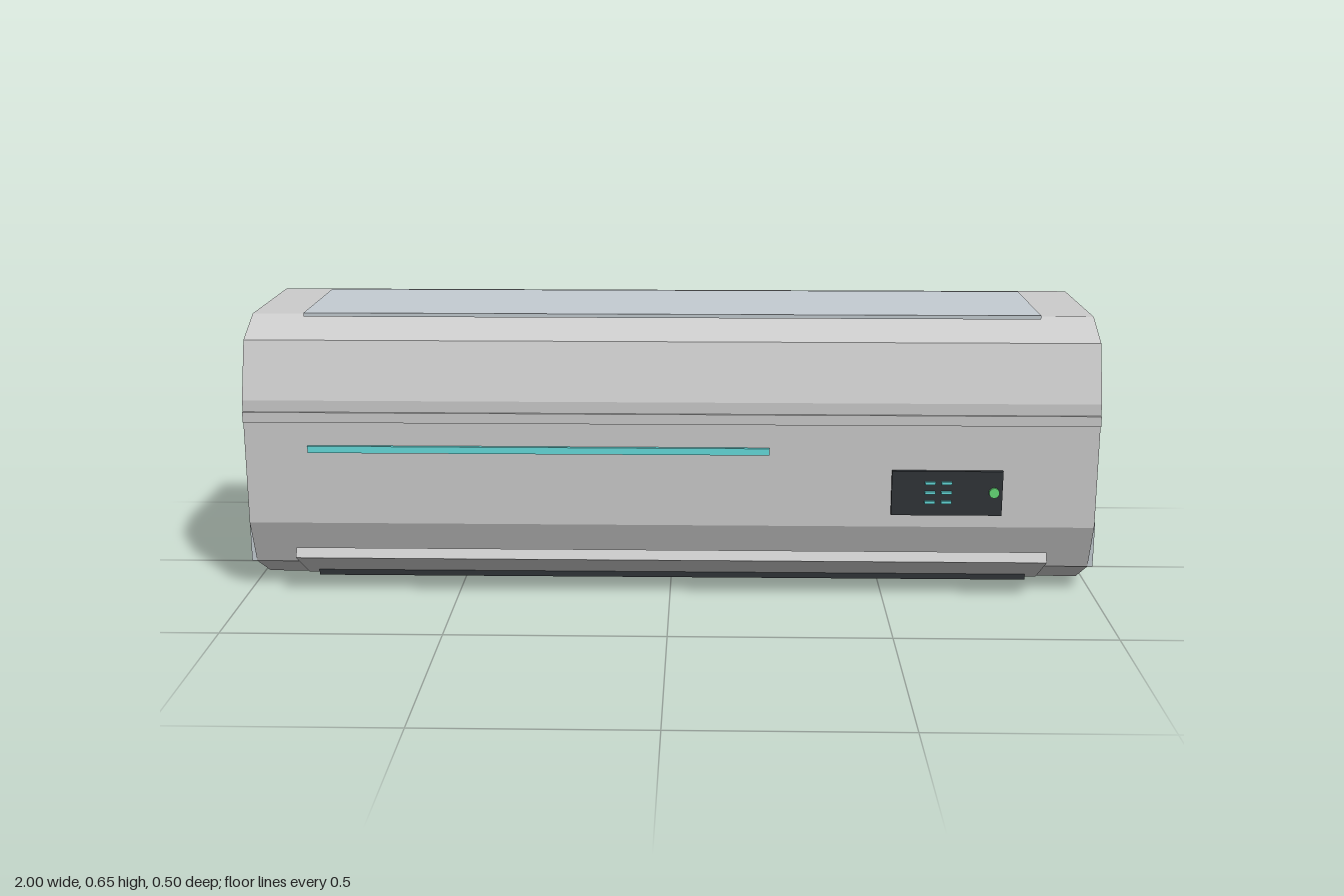
import * as THREE from 'three';

const material = (color = 0xcccccc) => new THREE.MeshStandardMaterial({ color });

export function createModel() {
  const model = new THREE.Group();
  const grey = material();
  const dark = material(0x303438);
  const cyan = material(0x66dddd);
  const green = material(0x66dd77);
  const panel = material(0xc4ccd2);

  const add = (name, geometry, mat, parent = model) => {
    const mesh = new THREE.Mesh(geometry, mat);
    mesh.name = name;
    parent.add(mesh);
    return mesh;
  };

  // Box given by its limits on each axis
  const box = (name, mat, [x0, x1], [y0, y1], [z0, z1], parent) => {
    const mesh = add(name, new THREE.BoxGeometry(x1 - x0, y1 - y0, z1 - z0), mat, parent);
    mesh.position.set((x0 + x1) / 2, (y0 + y1) / 2, (z0 + z1) / 2);
    return mesh;
  };

  // Casing: side profile (z, y) extruded along the width
  const profile = [
    [-0.25, 0], [0.072, 0], [0.19, 0.065], [0.235, 0.175],
    [0.235, 0.47], [0.19, 0.603], [0.093, 0.647], [-0.25, 0.647],
  ].map(([z, y]) => new THREE.Vector2(z, y));
  const casing = new THREE.ExtrudeGeometry(new THREE.Shape(profile), { depth: 1.976, bevelEnabled: false });
  casing.translate(0, 0, -0.988);
  casing.rotateY(-Math.PI / 2);
  add('casing', casing, grey);

  // Intake cover on top and the trim line across the front
  box('topIntakePanel', panel, [-0.86, 0.86], [0.646, 0.655], [-0.198, 0.125]);
  box('frontTrim', grey, [-0.988, 0.988], [0.419, 0.443], [0.23, 0.241]);

  // Side covers
  for (const side of [-1, 1]) {
    const cover = box('sidePanel', panel, [0.975, 1], [0.065, 0.172], [-0.133, 0.19]);
    cover.position.x *= side;
  }

  // Air outlet with its tilted flap
  box('airOutlet', dark, [-0.85, 0.85], [0.015, 0.045], [0, 0.145]);
  const flap = add('louverFlap', new THREE.BoxGeometry(1.76, 0.025, 0.149), grey);
  flap.position.set(0, 0.065, 0.18);
  flap.rotation.x = -0.55;

  // Light strip
  box('lightStrip', cyan, [-0.84, 0.23], [0.348, 0.364], [0.237, 0.246]);

  // Display with plain readout bars and a status light
  const display = new THREE.Group();
  display.name = 'display';
  model.add(display);
  box('displayScreen', dark, [0.514, 0.77], [0.206, 0.312], [0.235, 0.245], display);
  for (const x of [0.602, 0.64]) {
    for (const y of [0.239, 0.262, 0.285]) {
      box('readoutBar', cyan, [x - 0.012, x + 0.012], [y - 0.003, y + 0.003], [0.244, 0.252], display);
    }
  }
  const light = add('statusLight', new THREE.CylinderGeometry(0.012, 0.012, 0.008, 16), green, display);
  light.rotation.x = Math.PI / 2;
  light.position.set(0.75, 0.262, 0.248);

  return model;
}
